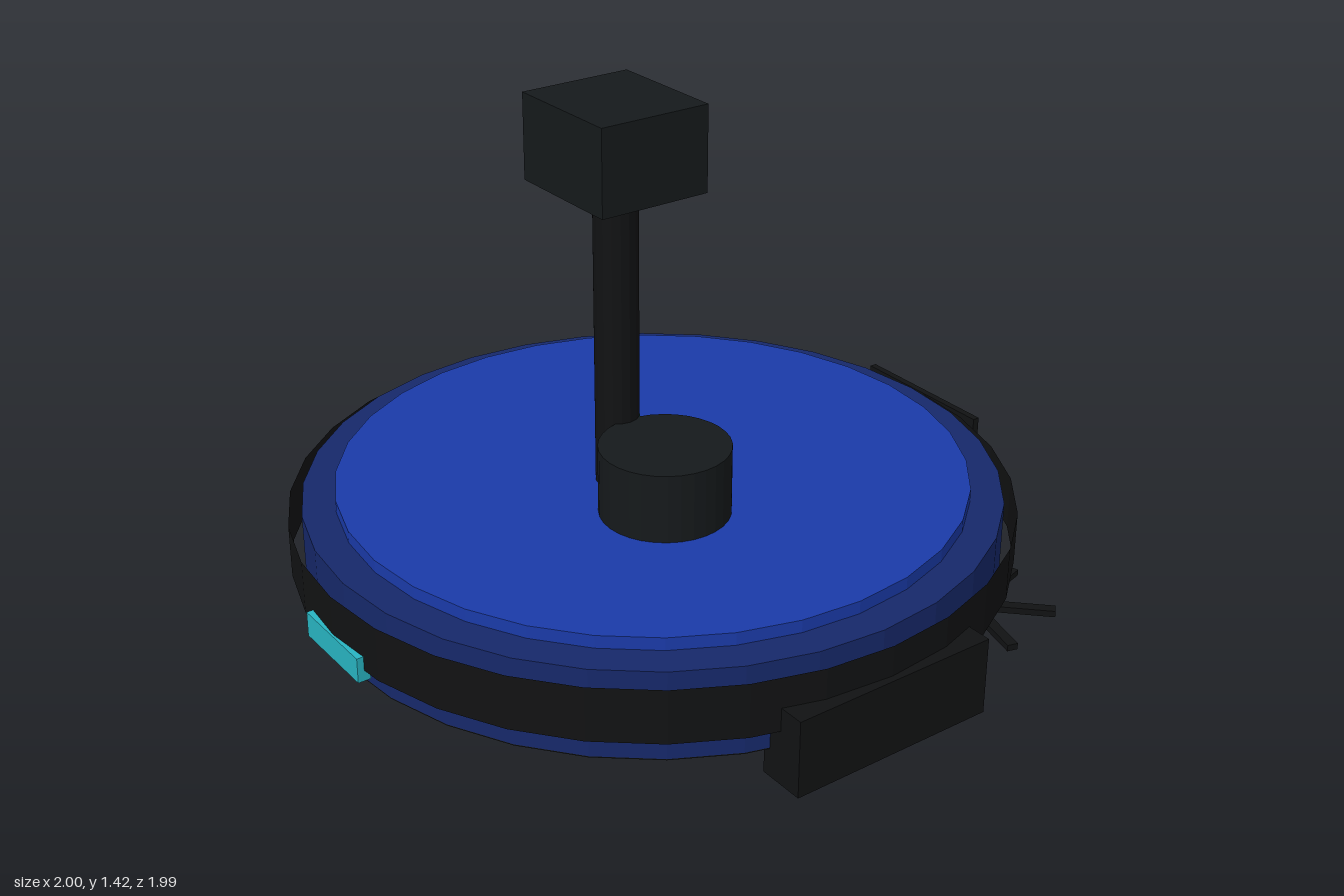
import * as THREE from 'three';

const mat = (color, extra = {}) => new THREE.MeshStandardMaterial({ color, flatShading: true, ...extra });

export function createModel() {
  const model = new THREE.Group();
  const navy = mat(0x16286a), blue = mat(0x1a3aa8), teal = mat(0x28b4c2);
  const black = mat(0x111213), charcoal = mat(0x15191b);
  const rubber = mat(0x111213, { side: THREE.DoubleSide });
  const zc = 0.007; // centre of the round body

  const add = (name, geometry, material, x, y, z, parent = model) => {
    const mesh = new THREE.Mesh(geometry, material);
    mesh.name = name;
    mesh.position.set(x, y, z);
    parent.add(mesh);
    return mesh;
  };
  // Upright cylinder and box given by their bottom and top heights
  const disc = (name, r, y0, y1, x, z, material, sides = 32, open = false) =>
    add(name, new THREE.CylinderGeometry(r, r, y1 - y0, sides, 1, open), material, x, (y0 + y1) / 2, z);
  const box = (name, w, y0, y1, d, x, z, material) =>
    add(name, new THREE.BoxGeometry(w, y1 - y0, d), material, x, (y0 + y1) / 2, z);

  // Round body: dark underside, hull, top plate and open bumper band
  disc('underside', 0.944, 0.078, 0.082, 0, zc, black);
  disc('hull', 0.945, 0.082, 0.325, 0, zc, navy);
  disc('topPlate', 0.855, 0.325, 0.36, 0, zc, blue);
  disc('bumperBand', 0.982, 0.15, 0.3, 0, zc, rubber, 32, true);

  // Side wheels
  for (const [name, s] of [['leftWheel', 1], ['rightWheel', -1]])
    box(name, 0.13, 0, 0.215, 0.6, s * 0.935, zc, black);

  // Front light and rear panel
  box('frontLight', 0.265, 0.12, 0.19, 0.035, 0, 0.977, teal);
  box('rearPanel', 0.45, 0.19, 0.3, 0.02, 0, -0.987, black);

  // Sensor turret and button on the top plate
  disc('sensorTurret', 0.174, 0.36, 0.55, 0.215, 0.122, charcoal);
  disc('button', 0.058, 0.36, 0.392, -0.253, -0.06, teal, 24);

  // Mast with camera head, its lens facing the back
  disc('mast', 0.06, 0.36, 1.19, 0, 0.122, black, 16);
  box('cameraHead', 0.348, 1.19, 1.422, 0.318, 0, 0.122, charcoal);
  box('cameraLens', 0.118, 1.267, 1.345, 0.03, 0, -0.047, teal);

  // Six-armed side brush made of three crossed bars
  const brush = new THREE.Group();
  brush.name = 'sideBrush';
  brush.position.set(0.65, 0.033, -0.582);
  model.add(brush);
  for (let i = 0; i < 3; i++) {
    const bar = add('brushBar', new THREE.BoxGeometry(0.45, 0.018, 0.03), black, 0, 0, 0, brush);
    bar.rotation.y = Math.PI / 4 + i * Math.PI / 3;
  }
  return model;
}
